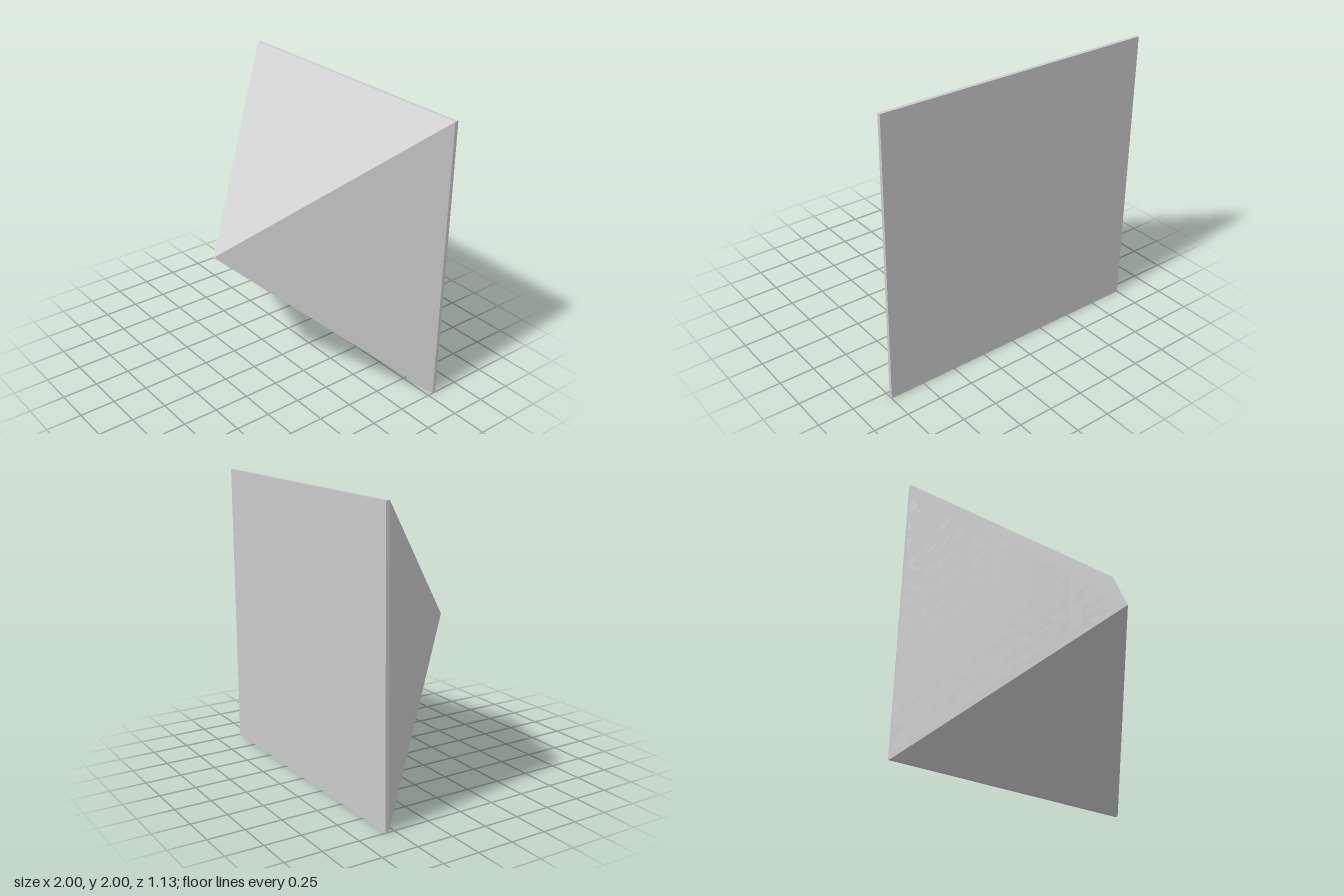
import * as THREE from 'three';

const APEX = 0.565, BASE = -0.54, BACK = -0.565; // depths along z
const H = APEX - BASE;
const SLANT = Math.hypot(1, H);
const DEPTH = 0.015;  // pocket depth
const PITCH = 0.15;   // lattice pitch, measured parallel to the ridges
const HALF = 0.042;   // half diagonal of a pocket

// Diamond outline around (u, t), cut off at the base edge
function diamond(u, t) {
  const max = 0.997;
  const p = [[u, t - HALF]];
  if (t + HALF <= max) p.push([u + HALF, t], [u, t + HALF], [u - HALF, t]);
  else {
    const w = t + HALF - max; // half width of the cut
    p.push([u + HALF, t], [u + w, max], [u - w, max], [u - HALF, t]);
  }
  return new THREE.Path(p.map(([x, y]) => new THREE.Vector2(x, y * SLANT)));
}

// Triangular panel, apex at the origin, pierced by a lattice of diamonds
function panelGeometry() {
  const shape = new THREE.Shape([
    new THREE.Vector2(0, 0), new THREE.Vector2(1, SLANT), new THREE.Vector2(-1, SLANT),
  ]);
  for (let i = 0; i < 13; i++) {
    for (let j = 0; i + j < 13; j++) {
      shape.holes.push(diamond((i - j) * PITCH / 2, (i + j + 1) * PITCH / 2));
    }
  }
  const geo = new THREE.ExtrudeGeometry(shape, { depth: DEPTH, bevelEnabled: false });
  geo.translate(0, 0, -DEPTH);
  // Lay the panel on the upper slope
  const down = new THREE.Vector3(0, 1, -H).normalize();
  const out = new THREE.Vector3(0, H, 1).normalize();
  geo.applyMatrix4(new THREE.Matrix4().makeBasis(new THREE.Vector3(1, 0, 0), down, out));
  return geo.translate(0, 0, APEX);
}

export function createModel() {
  const model = new THREE.Group();
  model.name = 'studdedPyramidPanel';
  const material = new THREE.MeshStandardMaterial({ color: 0xcccccc, flatShading: true });

  const add = (name, geometry) => {
    const mesh = new THREE.Mesh(geometry, material);
    mesh.name = name;
    mesh.position.y = 1;
    model.add(mesh);
    return mesh;
  };

  // Thin square back plate
  add('backPlate', new THREE.BoxGeometry(2, 2, BASE - BACK).translate(0, 0, (BASE + BACK) / 2));

  // Inner pyramid forming the pocket floors
  const drop = DEPTH * SLANT;
  const core = new THREE.ConeGeometry((1 - drop / H) * Math.SQRT2, H - drop, 4, 1);
  core.rotateY(Math.PI / 4).rotateX(Math.PI / 2).translate(0, 0, BASE + (H - drop) / 2);
  add('pocketFloors', core);

  // Four patterned slopes
  const panel = panelGeometry();
  ['topSlope', 'rightSlope', 'bottomSlope', 'leftSlope'].forEach((name, k) => {
    add(name, panel).rotation.z = k * Math.PI / 2;
  });
  return model;
}
